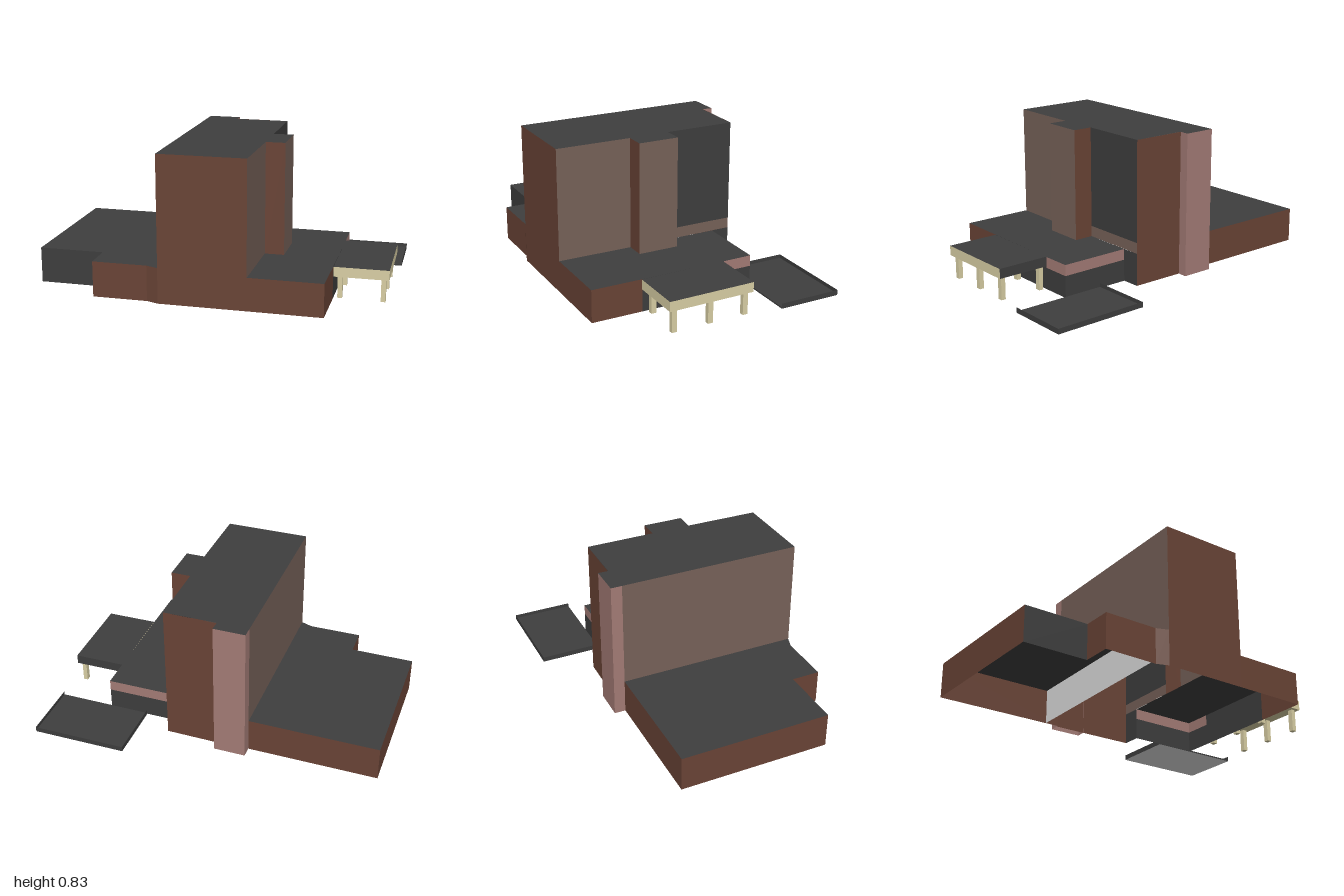
import * as THREE from 'three';

const mat = (name, color) => new THREE.MeshStandardMaterial({ name, color, side: THREE.DoubleSide });

export function createModel() {
  const model = new THREE.Group();
  model.name = 'building';
  const brick = mat('brown brick', 0x6a4436);
  const taupe = mat('taupe render', 0x776259);
  const rose = mat('rose cladding', 0xa47c76);
  const slate = mat('dark slate', 0x3e3e3e);
  const cream = mat('cream timber', 0xdad0a5);
  const white = mat('white plaster', 0xe0e0e0);

  const add = (name, geo, material) => {
    const mesh = new THREE.Mesh(geo, material);
    mesh.name = name;
    model.add(mesh);
    return mesh;
  };

  // Upright wall along a plan path of [x, z] points, outside on the right when walking
  const wall = (name, path, y0, y1, material) => {
    const pos = [];
    for (let i = 0; i < path.length - 1; i++) {
      const [ax, az] = path[i], [bx, bz] = path[i + 1];
      pos.push(ax, y0, az, bx, y0, bz, bx, y1, bz, ax, y0, az, bx, y1, bz, ax, y1, az);
    }
    const geo = new THREE.BufferGeometry();
    geo.setAttribute('position', new THREE.Float32BufferAttribute(pos, 3));
    geo.computeVertexNormals();
    return add(name, geo, material);
  };

  // Flat horizontal face over a plan outline
  const deck = (name, outline, y, material) => {
    const shape = new THREE.Shape(outline.map(([x, z]) => new THREE.Vector2(x, -z)));
    const geo = new THREE.ShapeGeometry(shape).rotateX(-Math.PI / 2).translate(0, y, 0);
    return add(name, geo, material);
  };

  const LOW = 0.203, WING = 0.188, TOP = 0.83;

  // Plan corners
  const towerFR = [-0.2, 0.69], towerFL = [0.292, 0.668], towerBL = [0.252, -0.405];
  const towerBR = [-0.243, -0.39], wingFL = [0.705, 0.65];
  const chimney = [[-0.06, -0.392], [-0.06, -0.452], [-0.245, -0.445], [-0.243, -0.38]];
  const bump = [[0.28, 0.235], [0.39, 0.23], [0.382, -0.005], [0.268, 0]];
  const wingBack = [[0.667, -0.315], [0.258, -0.297]];
  const wingSide = [[0.695, 0.355], [0.675, -0.145]];

  // Low block
  const lowFront = [[-0.96, 0.53], [-0.588, 0.515]];
  const step = [[-0.588, 0.515], [-0.58, 0.682], [-0.27, 0.668], towerFR];
  const lowBack = [[-0.243, -0.38], [-1, -0.35]];
  wall('lowBlockBackWall', lowBack, 0, LOW, brick);
  wall('lowBlockRightWall', [lowBack[1], lowFront[0]], 0, LOW, brick);
  wall('lowBlockFrontWall', lowFront, 0, LOW, slate);
  wall('lowBlockSteppedWall', step, 0, LOW, brick);
  wall('innerWall', [[-0.3, 0.668], [-0.325, -0.375]], 0, LOW, white);
  deck('lowBlockRoof', [...lowFront, ...step.slice(1), ...lowBack], LOW, slate);

  // Tower
  wall('towerFrontWall', [towerFR, towerFL], 0, TOP, brick);
  wall('towerRightWall', [chimney[3], towerFR], LOW, TOP, taupe);
  wall('towerLeftFrontWall', [towerFL, bump[0]], WING, TOP, taupe);
  wall('towerLeftSill', [bump[3], towerBL], WING, 0.25, taupe);
  wall('towerLeftPanel', [bump[3], towerBL], 0.25, TOP, slate);
  wall('towerLeftBase', [wingBack[1], towerBL], 0, WING, slate);
  wall('towerBackWall', [towerBL, towerBR], 0, TOP, brick);
  deck('towerRoof', [towerFR, towerFL, ...bump, towerBL, ...chimney], TOP, slate);

  // Projecting bay on the left of the tower
  wall('bayFront', bump.slice(0, 2), WING, TOP, brick);
  wall('baySide', bump.slice(1, 3), WING, TOP, taupe);
  wall('bayBack', bump.slice(2), WING, TOP, brick);

  // Chimney at the back
  wall('chimney', chimney, 0, TOP, rose);

  // Low wing
  wall('wingFrontWall', [towerFL, wingFL], 0, WING, brick);
  wall('wingSideWall', [wingFL, wingSide[0]], 0, WING, brick);
  wall('wingSheltered', wingSide, 0, WING, slate);
  const rear = [wingSide[1], ...wingBack];
  wall('wingRearBase', rear, 0, 0.125, slate);
  wall('wingRearBand', rear, 0.125, WING, rose);
  deck('wingRoof', [towerFL, wingFL, ...wingSide, ...wingBack], WING, slate);

  // Carport canopy
  const port = [[0.697, 0.36], [1, 0.345], [0.976, -0.155], [0.675, -0.14]];
  wall('canopyFasciaFront', port.slice(0, 2), 0.132, WING, cream);
  wall('canopyFasciaSide', port.slice(1, 3), 0.132, WING, cream);
  wall('canopyFasciaBack', port.slice(2), 0.132, WING, slate);
  deck('canopyRoof', port, WING, slate);
  deck('canopySoffit', port, 0.132, cream);

  // Carport posts
  for (const z of [0.31, 0.095, -0.118]) {
    for (const x of [0.712, 0.951]) {
      const post = add('carportPost', new THREE.BoxGeometry(0.026, 0.132, 0.03), cream);
      post.position.set(x + 0.05 * z, 0.066, z);
      post.rotation.y = 0.048;
    }
  }

  // Rimmed yard slab behind the wing
  const yard = [[0.435, -0.308], [0.985, -0.33], [0.97, -0.695], [0.42, -0.67]];
  wall('yardRim', [...yard.slice(1), yard[0]], 0, 0.03, slate);
  wall('yardFrontEdge', yard.slice(0, 2), 0, 0.008, slate);
  deck('yardFloor', yard, 0.008, slate);
  deck('yardUnderside', yard, 0, white);

  return model;
}
